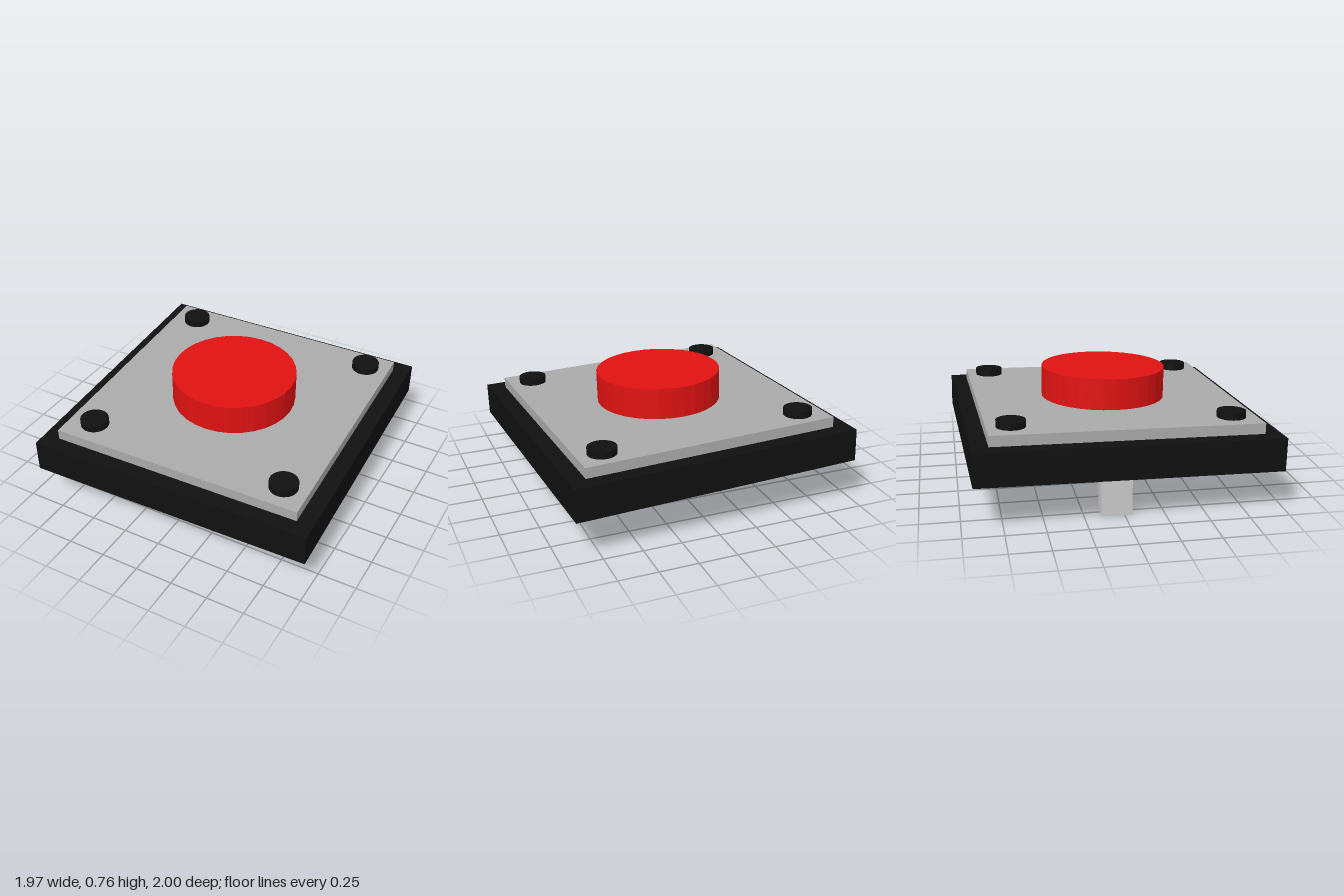
import * as THREE from 'three';

const material = (color) => new THREE.MeshStandardMaterial({ color, flatShading: true });

function part(name, geometry, mat, x, y, z) {
  const mesh = new THREE.Mesh(geometry, mat);
  mesh.name = name;
  mesh.position.set(x, y, z);
  return mesh;
}

export function createModel() {
  const model = new THREE.Group();
  model.name = 'pushButtonSwitch';

  const black = material(0x101010);
  const grey = material(0xaaaaaa);
  const red = material(0xe01212);
  const pinGrey = material(0xcccccc);

  // Switch body sits slightly turned and tilted on its two pins
  const body = new THREE.Group();
  body.name = 'switchBody';
  body.position.y = 0.367;
  body.rotation.set(0.0224, 0.038, -0.0175);
  model.add(body);

  // Housing and cover plate
  body.add(part('housing', new THREE.BoxGeometry(1.89, 0.213, 1.92), black, 0, 0, 0));
  body.add(part('coverPlate', new THREE.BoxGeometry(1.675, 0.07, 1.71), grey, 0, 0.14, 0));

  // Round push button
  body.add(part('pushButton', new THREE.CylinderGeometry(0.412, 0.412, 0.21, 32), red, 0, 0.273, 0));

  // Corner rivets
  const rivet = new THREE.CylinderGeometry(0.092, 0.092, 0.05, 32);
  for (const sx of [-1, 1]) {
    for (const sz of [-1, 1]) {
      body.add(part('rivet', rivet, black, sx * 0.67 + 0.006, 0.194, sz * 0.696 - 0.008));
    }
  }

  // Upright contact pins below the housing
  const pin = new THREE.BoxGeometry(0.107, 0.3, 0.193);
  for (const x of [-0.77, 0.748]) {
    model.add(part('contactPin', pin, pinGrey, x, 0.15, -0.048));
  }

  return model;
}
